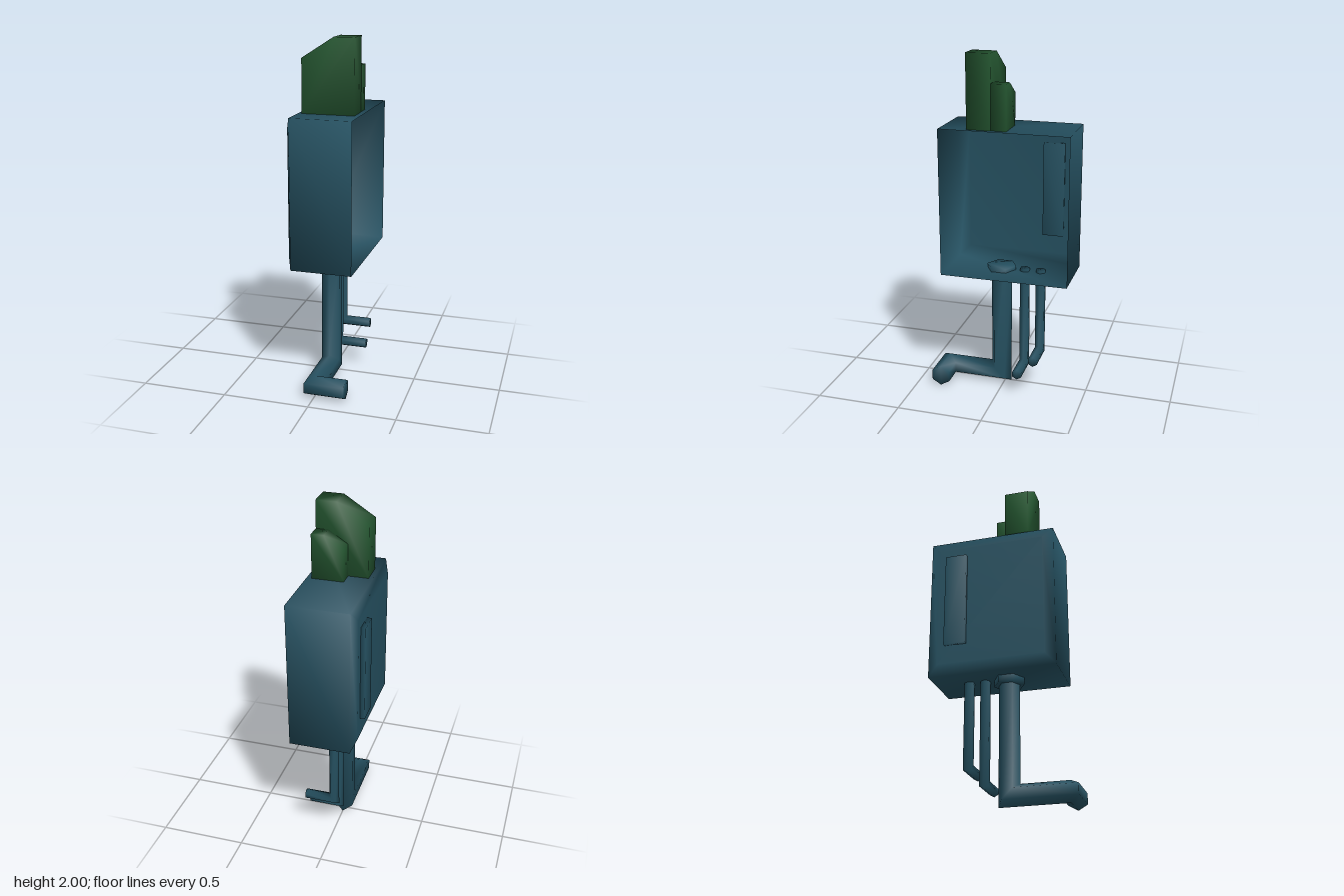
import * as THREE from 'three';

const V = (x, y, z) => new THREE.Vector3(x, y, z);
const teal = new THREE.MeshStandardMaterial({ color: 0x255060, side: THREE.DoubleSide });
const green = new THREE.MeshStandardMaterial({ color: 0x245530 });

// Smooth skin over equal rings, each counter-clockwise about the direction of travel
function loft(rings, capStart = true, capEnd = true) {
  const n = rings[0].length, last = (rings.length - 1) * n, index = [];
  for (let i = 0; i < rings.length - 1; i++) {
    for (let j = 0; j < n; j++) {
      const a = i * n + j, b = i * n + (j + 1) % n;
      index.push(a, b, b + n, a, b + n, a + n);
    }
  }
  for (let j = 1; j < n - 1; j++) {
    if (capStart) index.push(0, j + 1, j);
    if (capEnd) index.push(last, last + j, last + j + 1);
  }
  const geometry = new THREE.BufferGeometry().setFromPoints(rings.flat());
  geometry.setIndex(index);
  geometry.computeVertexNormals();
  return geometry;
}

// Rectangle across x
const rect = (x, y0, y1, z0, z1) => [V(x, y0, z0), V(x, y0, z1), V(x, y1, z1), V(x, y1, z0)];

// Six-sided pipe with mitred elbows; the first run goes straight down
function pipe(path, radius, turn) {
  let ring = [];
  for (let k = 0; k < 6; k++) {
    const a = turn + k * Math.PI / 3;
    ring.push(V(Math.cos(a) * radius, 0, Math.sin(a) * radius).add(path[0]));
  }
  const rings = [ring];
  for (let i = 1; i < path.length; i++) {
    const dir = path[i].clone().sub(path[i - 1]).normalize();
    const plane = dir.clone();
    if (i < path.length - 1) plane.add(path[i + 1].clone().sub(path[i]).normalize());
    ring = ring.map(p => {
      const t = path[i].clone().sub(p).dot(plane) / dir.dot(plane);
      return p.clone().addScaledVector(dir, t);
    });
    rings.push(ring);
  }
  return loft(rings);
}

// Upright fin with one sloping shoulder, sized from its right-hand edge
function fin(scale, base, zBack, zFront) {
  const outline = [[-0.297, 0], [0, 0], [0, 0.418], [-0.117, 0.418], [-0.297, 0.303]];
  return loft([zBack, zFront].map(z =>
    outline.map(([x, y]) => V(0.17 + x * scale, base + y * scale, z))));
}

export function createModel() {
  const model = new THREE.Group();
  const add = (name, geometry, material = teal) => {
    const mesh = new THREE.Mesh(geometry, material);
    mesh.name = name;
    model.add(mesh);
  };

  // Housing: open on +x, bevelled on -x
  add('housing', loft([
    rect(0.2, 0.73, 1.585, -0.41, 0.33),
    rect(-0.15, 0.73, 1.585, -0.41, 0.33),
    rect(-0.178, 0.79, 1.52, -0.35, 0.27),
  ], false, true));
  add('sideStrip', loft([-0.165, -0.205].map(x => rect(x, 0.9, 1.46, -0.305, -0.18))));

  // Fins on top
  add('largeFin', fin(1, 1.582, 0.034, 0.173), green);
  add('smallFin', fin(0.61, 1.586, -0.053, 0.034), green);

  // Main pipe with its collar
  const z = 0.022;
  add('mainPipe', pipe([V(0, 0.745, z), V(0, 0.062, z), V(0, 0.062, 0.355), V(0.178, 0.062, 0.355)],
    0.061, Math.PI / 2));
  add('pipeCollar', pipe([V(0, 0.752, z), V(0, 0.69, z)], 0.087, Math.PI / 2));

  // Two thin pipes behind it
  for (const [name, pz, y] of [['longThinPipe', -0.118, 0.138], ['shortThinPipe', -0.213, 0.235]]) {
    add(name, pipe([V(0, 0.745, pz), V(0, y, pz), V(0.176, y, pz)], 0.03, 0));
  }
  return model;
}
